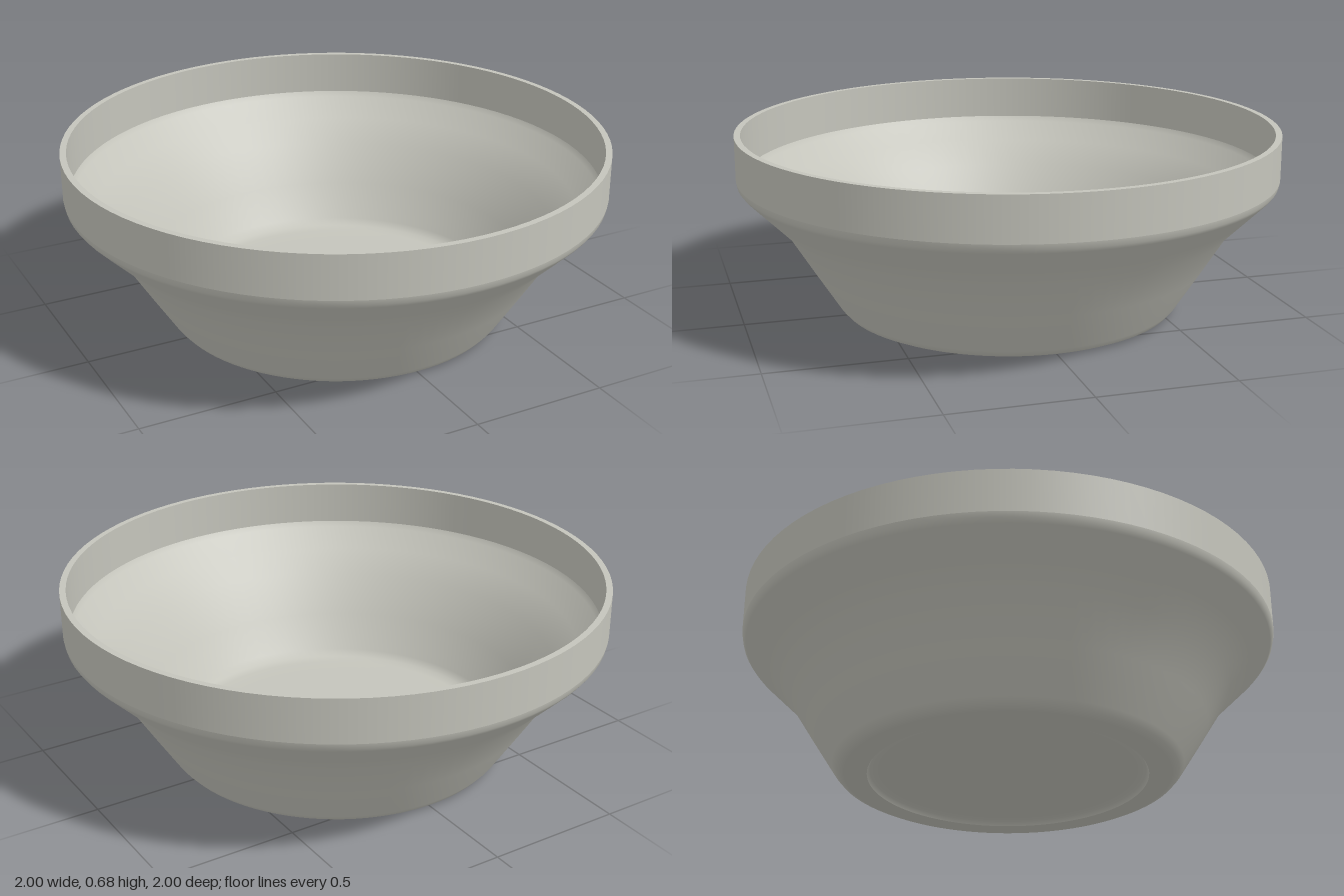
import * as THREE from 'three';

const SEGMENTS = 96;

export function createModel() {
  const bowl = new THREE.Group();
  bowl.name = 'bowl';
  const stoneware = new THREE.MeshStandardMaterial({ color: 0xc4c4bb });
  stoneware.name = 'warm grey stoneware';

  // Each section is smooth in itself; the seams between sections stay sharp.
  function addSection(name, profile) {
    const points = profile.map(([r, y]) => new THREE.Vector2(r, y));
    const mesh = new THREE.Mesh(new THREE.LatheGeometry(points, SEGMENTS), stoneware);
    mesh.name = name;
    bowl.add(mesh);
  }

  // Profiles run from under the base, up the outside, over the lip and down inside.
  addSection('baseRecess', [[0, 0.02], [0.47, 0.02], [0.505, 0.016], [0.516, 0]]);
  addSection('outerWall', [
    [0.516, 0], [0.6, 0], [0.625, 0.012], [0.645, 0.035], [0.74, 0.185],
    [0.83, 0.33], [0.915, 0.415], [0.985, 0.485], [0.996, 0.5], [1, 0.52],
  ]);
  addSection('outerRimBand', [[1, 0.52], [1, 0.68]]);
  addSection('lip', [[1, 0.68], [0.977, 0.68]]);
  addSection('innerRimBand', [[0.977, 0.68], [0.977, 0.515]]);
  addSection('innerWallAndFloor', [
    [0.977, 0.515], [0.965, 0.495], [0.895, 0.425], [0.81, 0.34], [0.72, 0.195],
    [0.64, 0.065], [0.615, 0.042], [0.58, 0.035], [0.5, 0.035], [0, 0.035],
  ]);

  return bowl;
}
